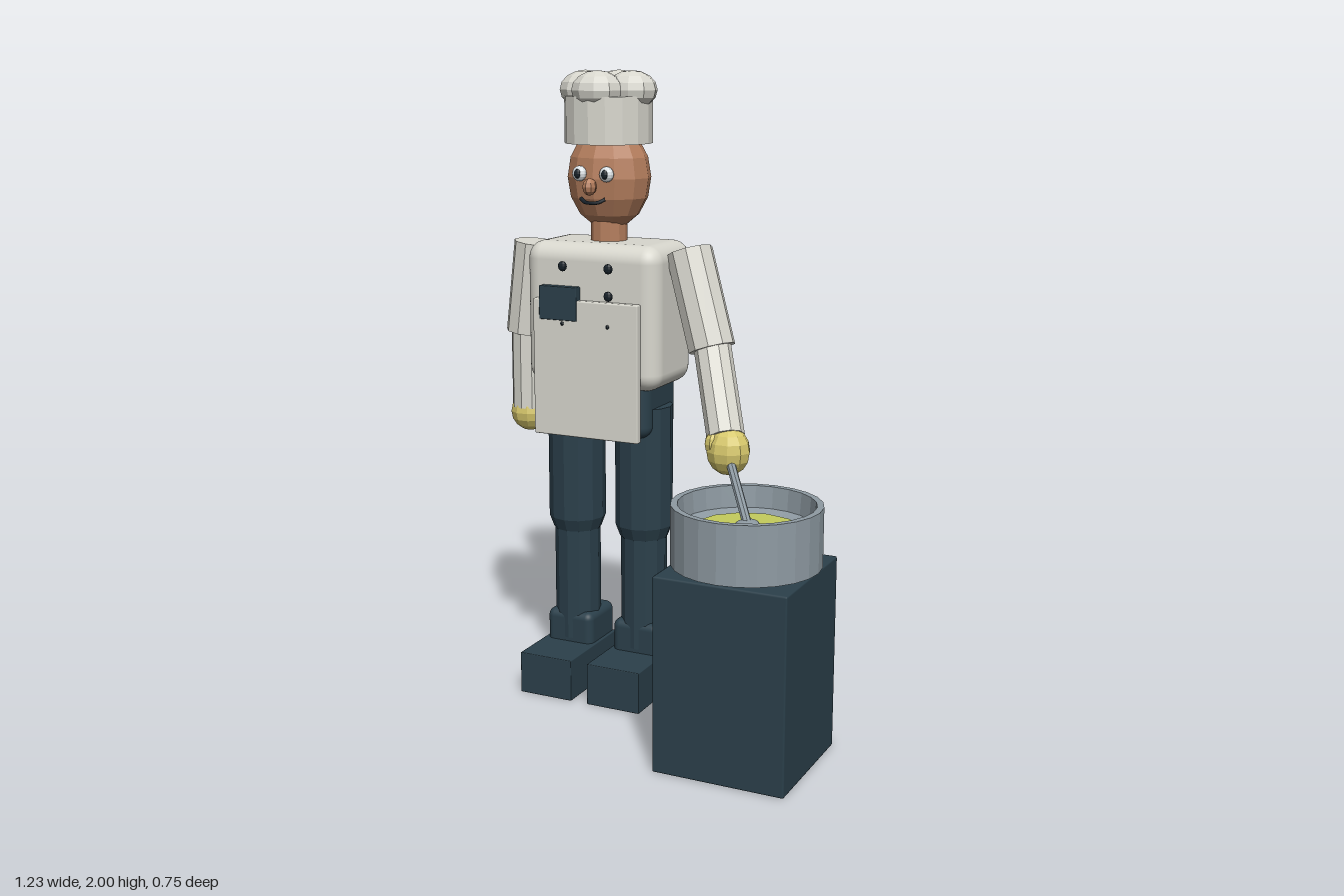
import * as THREE from 'three';
import { RoundedBoxGeometry } from 'three/addons/geometries/RoundedBoxGeometry.js';

const colour = (name, hex) => {
  const m = new THREE.MeshStandardMaterial({ color: hex });
  m.name = name;
  return m;
};

export function createModel() {
  const cloth = colour('offWhiteCloth', 0xd8d7ce);
  const dark = colour('darkSlate', 0x2b404b);
  const skin = colour('skin', 0xb67f5e);
  const metal = colour('metal', 0x8f9ba3);
  const glove = colour('yellowGlove', 0xd6c76c);
  const soup = colour('soup', 0xc4cc5c);
  const eyeWhite = colour('eyeWhite', 0xdde3e6);
  const ink = colour('ink', 0x18222a);

  const model = new THREE.Group();
  model.name = 'cookWithPot';

  const add = (name, geo, mat, x = 0, y = 0, z = 0) => {
    const mesh = new THREE.Mesh(geo, mat);
    mesh.name = name;
    mesh.position.set(x, y, z);
    model.add(mesh);
    return mesh;
  };
  const flat = (geo) => {
    const g = geo.index ? geo.toNonIndexed() : geo;
    g.computeVertexNormals();
    return g;
  };
  // box given by its limits on each axis
  const box = (name, mat, [x0, x1], [y0, y1], [z0, z1], r = 0.006) =>
    add(name, new RoundedBoxGeometry(x1 - x0, y1 - y0, z1 - z0, r > 0.02 ? 4 : 1, r), mat,
      (x0 + x1) / 2, (y0 + y1) / 2, (z0 + z1) / 2);
  // faceted ellipsoid
  const ball = (name, mat, [x, y, z], [rx, ry, rz], w = 12, h = 8) =>
    add(name, flat(new THREE.SphereGeometry(1, w, h).scale(rx, ry, rz)), mat, x, y, z);
  // faceted limb between two points
  const limb = (name, mat, from, to, r0, r1 = r0, sides = 10) => {
    const a = new THREE.Vector3(...from), b = new THREE.Vector3(...to);
    const dir = b.clone().sub(a);
    const mid = a.clone().add(b).multiplyScalar(0.5);
    const mesh = add(name, flat(new THREE.CylinderGeometry(r1, r0, dir.length(), sides)), mat, mid.x, mid.y, mid.z);
    mesh.quaternion.setFromUnitVectors(new THREE.Vector3(0, 1, 0), dir.normalize());
    return mesh;
  };
  const turned = (name, mat, pts, sides, x, y, z) =>
    add(name, flat(new THREE.LatheGeometry(pts.map((p) => new THREE.Vector2(...p)), sides)), mat, x, y, z);

  const cx = -0.246, cz = -0.226; // body axis

  // Body
  box('torso', cloth, [-0.478, -0.014], [1.02, 1.475], [-0.368, -0.083], 0.055);
  box('hips', dark, [-0.43, -0.062], [0.86, 1.06], [-0.348, -0.114], 0.04);
  limb('neck', skin, [cx, 1.45, cz], [cx, 1.56, cz], 0.058, 0.058, 12);

  // Legs and shoes
  for (const [side, s] of [['left', 1], ['right', -1]]) {
    const x = cx + s * 0.122;
    turned(side + 'Thigh', dark, [[0, 0.52], [0.078, 0.52], [0.093, 0.56], [0.093, 0.955], [0, 0.955]], 12, x, 0, cz);
    limb(side + 'Shin', dark, [x, 0.15, cz], [x, 0.54, cz], 0.075, 0.075, 12);
    box(side + 'Ankle', dark, [x - 0.083, x + 0.083], [0.088, 0.24], [-0.33, -0.155], 0.025);
    box(side + 'Shoe', dark, [x - 0.093, x + 0.093], [0, 0.137], [-0.318, 0.005], 0.003);
  }

  // Apron, pocket and buttons
  box('apron', cloth, [-0.43, -0.064], [0.865, 1.3], [-0.083, -0.056], 0.005);
  box('pocket', dark, [-0.406, -0.274], [1.236, 1.342], [-0.082, -0.052], 0.003);
  for (const y of [1.405, 1.32]) {
    for (const x of [-0.326, -0.167]) {
      ball('button', ink, [x, y, -0.063], [0.016, 0.016, 0.009], 10, 6);
    }
  }
  for (const x of [-0.326, -0.167]) {
    ball('lowButton', ink, [x, 1.226, -0.06], [0.008, 0.008, 0.008], 8, 6);
  }

  // Head and face
  ball('head', skin, [cx, 1.672, -0.23], [0.136, 0.164, 0.115], 12, 8);
  for (const s of [-1, 1]) {
    const x = cx + s * 0.047;
    ball('eye', eyeWhite, [x, 1.688, -0.119], [0.024, 0.024, 0.018], 12, 8);
    ball('pupil', ink, [x, 1.688, -0.107], [0.013, 0.015, 0.009], 10, 6);
  }
  ball('nose', skin, [cx, 1.65, -0.096], [0.021, 0.027, 0.027], 8, 6);
  const smile = new THREE.CatmullRomCurve3([
    [-0.042, 1.612, -0.118], [-0.024, 1.602, -0.108], [0, 1.6, -0.103],
    [0.024, 1.602, -0.108], [0.042, 1.612, -0.118],
  ].map(([x, y, z]) => new THREE.Vector3(cx + x, y, z)));
  add('mouth', new THREE.TubeGeometry(smile, 12, 0.006, 6), ink);

  // Hat: band and four puffs
  limb('hatBand', cloth, [cx, 1.777, cz], [cx, 1.922, cz], 0.138, 0.138, 16);
  for (let i = 0; i < 4; i++) {
    const a = (i * Math.PI) / 2;
    ball('hatPuff', cloth, [cx + 0.08 * Math.cos(a), 1.94, cz + 0.073 * Math.sin(a)], [0.082, 0.06, 0.08], 10, 8);
  }

  // Hanging right arm
  limb('rightUpperArm', cloth, [-0.508, 1.455, cz], [-0.543, 1.16, cz], 0.074);
  limb('rightForearm', cloth, [-0.543, 1.2, cz], [-0.543, 0.91, cz], 0.058);
  ball('rightGlove', glove, [-0.543, 0.893, cz], [0.064, 0.065, 0.06], 10, 8);

  // Stirring left arm
  limb('leftUpperArm', cloth, [0.032, 1.453, cz], [0.135, 1.165, -0.172], 0.074);
  limb('leftForearm', cloth, [0.125, 1.2, -0.185], [0.238, 0.925, -0.045], 0.058);
  ball('leftGlove', glove, [0.252, 0.885, -0.033], [0.069, 0.074, 0.062], 10, 8);
  ball('leftThumb', glove, [0.211, 0.908, -0.012], [0.027, 0.035, 0.027], 8, 6);

  // Counter, pot, soup and spoon
  const px = 0.393, pz = 0.157;
  box('counter', dark, [0.188, 0.6], [0, 0.6], [-0.048, 0.364], 0.006);
  turned('pot', metal, [[0, 0.608], [0.222, 0.608], [0.222, 0.787], [0.202, 0.787],
    [0.197, 0.72], [0.15, 0.708], [0, 0.7]], 24, px, 0, pz);
  limb('soup', soup, [px, 0.7, pz], [px, 0.715, pz], 0.158, 0.158, 12);
  limb('spoonHandle', metal, [0.235, 0.9, -0.05], [px, 0.727, 0.155], 0.014, 0.014, 8);
  ball('spoonBowl', metal, [px, 0.722, 0.156], [0.036, 0.016, 0.047], 12, 8);

  return model;
}
